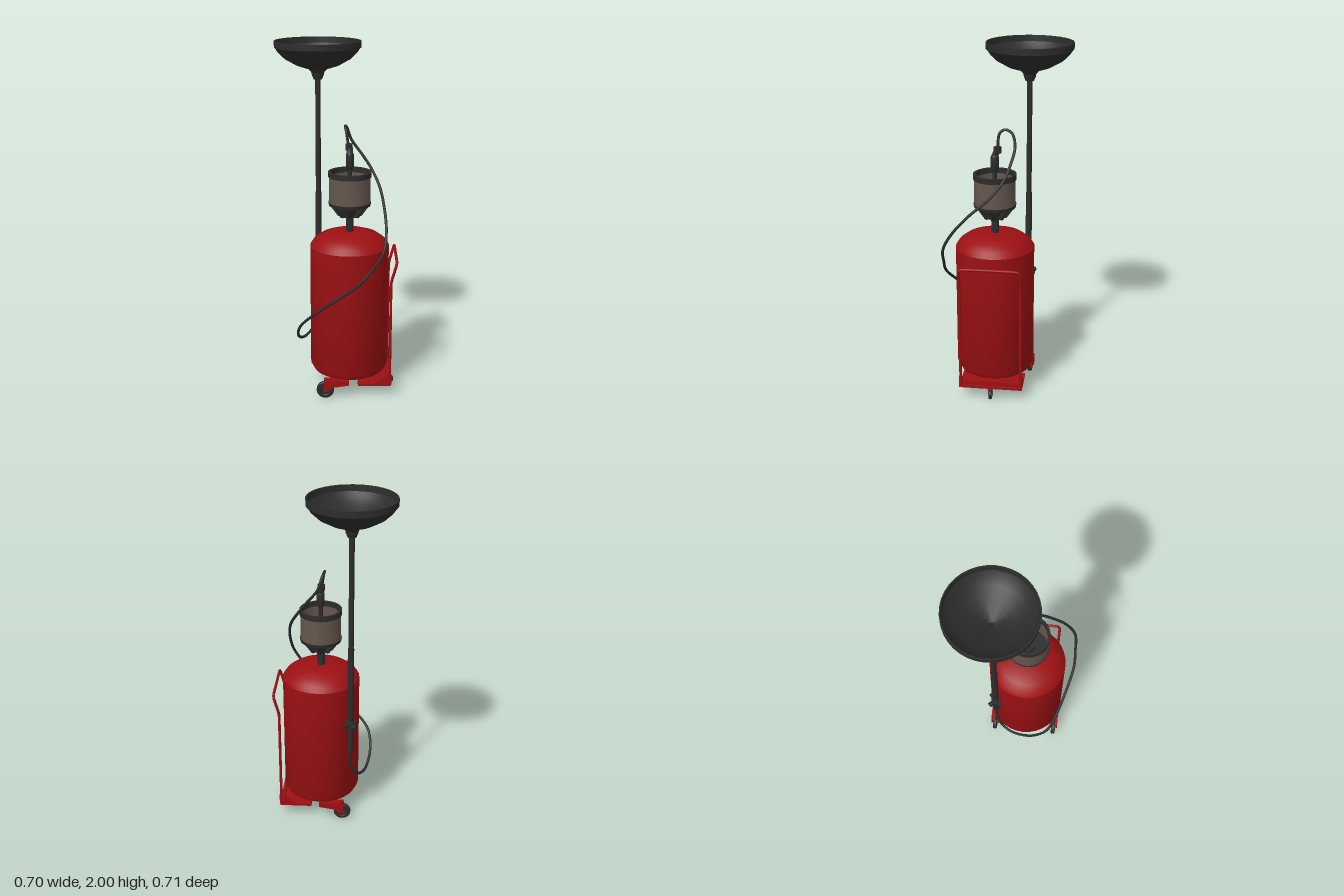
import * as THREE from 'three';
import { toCreasedNormals } from 'three/addons/utils/BufferGeometryUtils.js';

const CX = 0.075, CZ = 0.067;   // tank axis
const PX = -0.107, PZ = -0.107; // funnel pole axis

const mat = (color) => new THREE.MeshStandardMaterial({ color, side: THREE.DoubleSide });

export function createModel() {
  const model = new THREE.Group();
  const red = mat(0x9c1013), black = mat(0x2c2c2c), brown = mat(0x64564d), steel = mat(0x555555);

  const add = (name, geometry, material, x = 0, y = 0, z = 0, parent = model) => {
    const mesh = new THREE.Mesh(geometry, material);
    mesh.name = name;
    mesh.position.set(x, y, z);
    parent.add(mesh);
    return mesh;
  };
  const lathe = (profile, segments = 32) => toCreasedNormals(
    new THREE.LatheGeometry(profile.map(([r, y]) => new THREE.Vector2(r, y)), segments), 0.55);
  const cyl = (rTop, rBottom, h, n = 20, open = false) =>
    toCreasedNormals(new THREE.CylinderGeometry(rTop, rBottom, h, n, 1, open), 0.6);
  const box = (w, h, d) => new THREE.BoxGeometry(w, h, d);
  const tube = (points, r, segments, tension = 0.5) => new THREE.TubeGeometry(
    new THREE.CatmullRomCurve3(points.map((p) => new THREE.Vector3(...p)), false, 'catmullrom', tension),
    segments, r, 10);

  // Tank with domed ends
  add('tank', lathe([
    [0, 0.075], [0.1, 0.08], [0.165, 0.094], [0.208, 0.118], [0.225, 0.15],
    [0.225, 0.865], [0.205, 0.895], [0.165, 0.924], [0.11, 0.943], [0, 0.947],
  ]), red, CX, 0, CZ);

  // Funnel bowl: outer wall, rim, inner wall and drain
  add('funnelBowl', lathe([
    [0.034, 1.81], [0.036, 1.823], [0.052, 1.842], [0.12, 1.864], [0.185, 1.9], [0.222, 1.935],
    [0.24, 1.962], [0.245, 1.965], [0.245, 2.0], [0.238, 2.0], [0.235, 1.965], [0.215, 1.938],
    [0.18, 1.908], [0.12, 1.873], [0.05, 1.851], [0.03, 1.84], [0.013, 1.835],
  ], 36), black, PX, 0, PZ);
  add('funnelNeck', lathe([[0.016, 1.785], [0.024, 1.785], [0.034, 1.81], [0.016, 1.81]], 24), black, PX, 0, PZ);

  // Telescoping pole and its clamp on the tank
  add('upperPole', cyl(0.015, 0.015, 0.72, 16, true), black, PX, 1.475, PZ);
  add('lowerPole', cyl(0.018, 0.018, 0.65, 16, true), black, PX, 0.805, PZ);
  const clamp = new THREE.Group();
  clamp.name = 'poleClamp';
  clamp.position.set(PX, 0.64, PZ);
  clamp.rotation.y = Math.PI / 4; // local +z points at the tank axis
  model.add(clamp);
  add('clampCollar', cyl(0.028, 0.028, 0.045, 16), black, 0, 0, 0, clamp);
  add('clampArm', box(0.03, 0.03, 0.05), black, 0, 0, 0.025, clamp);
  add('clampPlate', box(0.1, 0.022, 0.016), black, 0, 0, 0, clamp);
  const knob = add('clampKnob', cyl(0.014, 0.014, 0.03, 10), black, 0, 0, -0.035, clamp);
  knob.rotation.x = Math.PI / 2;

  // Measuring chamber on top of the tank
  const chamber = new THREE.Group();
  chamber.name = 'measuringChamber';
  chamber.position.set(CX, 0, CZ);
  model.add(chamber);
  add('chamberNeck', cyl(0.022, 0.022, 0.12, 16), black, 0, 0.99, 0, chamber);
  add('chamberBase', lathe([
    [0, 1.03], [0.04, 1.03], [0.045, 1.05], [0.07, 1.09], [0.118, 1.1], [0.121, 1.118], [0, 1.118],
  ]), black, 0, 0, 0, chamber);
  add('chamberWall', lathe([[0.117, 1.115], [0.117, 1.27], [0.11, 1.27], [0.11, 1.115]]), brown, 0, 0, 0, chamber);
  add('chamberRim', lathe([
    [0.108, 1.264], [0.122, 1.264], [0.122, 1.294], [0.108, 1.294], [0.108, 1.264],
  ]), black, 0, 0, 0, chamber);
  // Supporting ribs under the chamber
  const ribShape = new THREE.Shape([[0.02, 1.035], [0.066, 1.035], [0.116, 1.104], [0.02, 1.104]]
    .map(([x, y]) => new THREE.Vector2(x, y)));
  const ribGeometry = new THREE.ExtrudeGeometry(ribShape, { depth: 0.014, bevelEnabled: false });
  ribGeometry.translate(0, 0, -0.007);
  for (let i = 0; i < 8; i++) {
    add('chamberRib', ribGeometry, black, 0, 0, 0, chamber).rotation.y = i * Math.PI / 4;
  }
  // Column, valve and hose fitting in the middle
  add('socket', lathe([[0.04, 1.118], [0.04, 1.15], [0.026, 1.15], [0.026, 1.118]], 20), black, 0, 0, 0, chamber);
  add('column', cyl(0.013, 0.013, 0.2, 12), black, 0, 1.215, 0, chamber);
  add('valveBody', lathe([
    [0, 1.305], [0.015, 1.305], [0.023, 1.325], [0.023, 1.39], [0.015, 1.405], [0, 1.405],
  ], 12), black, 0, 0, 0, chamber);
  const elbow = add('valveElbow', cyl(0.018, 0.018, 0.035, 8), black, 0, 1.41, -0.006, chamber);
  elbow.rotation.x = -0.4;
  add('hoseNut', cyl(0.023, 0.023, 0.035, 6), black, -0.005, 1.43, -0.015, chamber);

  // Hose from the valve, round the front of the tank to the foot of the pole
  add('hose', tube([
    [0.066, 1.44, 0.05], [0.055, 1.51, 0.046], [0.048, 1.54, 0.015], [0.06, 1.52, -0.03],
    [0.085, 1.45, -0.047], [0.145, 1.37, -0.03], [0.2, 1.29, 0.002], [0.245, 1.2, 0.075],
    [0.268, 1.1, 0.19], [0.275, 1.0, 0.28], [0.258, 0.9, 0.335], [0.195, 0.8, 0.345],
    [0.105, 0.7, 0.343], [-0.08, 0.55, 0.285], [-0.185, 0.45, 0.235], [-0.217, 0.38, 0.18],
    [-0.217, 0.31, 0.1], [-0.19, 0.268, 0.0], [-0.145, 0.29, -0.075], [PX, 0.37, PZ], [PX, 0.5, PZ],
  ], 0.008, 160), black);

  // Push handle: bent U-shaped bar
  const zA = CZ - 0.173, zB = CZ + 0.173;
  add('pushHandle', tube([
    [0.308, 0.08, zA], [0.308, 0.4, zA], [0.308, 0.67, zA], [0.312, 0.71, zA], [0.334, 0.79, zA],
    [0.339, 0.812, zA + 0.02], [0.339, 0.814, CZ], [0.339, 0.812, zB - 0.02],
    [0.334, 0.79, zB], [0.312, 0.71, zB], [0.308, 0.67, zB], [0.308, 0.4, zB], [0.308, 0.08, zB],
  ], 0.008, 120, 0.3), red);

  // Base plate with side gussets
  add('basePlate', box(0.19, 0.012, 0.365), red, 0.22, 0.072, CZ);
  add('plateLip', box(0.01, 0.03, 0.365), red, 0.296, 0.088, CZ);
  const gusset = new THREE.ExtrudeGeometry(new THREE.Shape([[0.215, 0.075], [0.318, 0.075], [0.318, 0.135], [0.29, 0.135]]
    .map(([x, y]) => new THREE.Vector2(x, y))), { depth: 0.008, bevelEnabled: false });
  for (const z of [zA - 0.009, zB + 0.001]) add('plateGusset', gusset, red, 0, 0, z);

  // Wheel with tyre and hub, axle along z
  const addWheel = (name, r, w, x, z) => {
    const wheel = new THREE.Group();
    wheel.name = name;
    wheel.position.set(x, r, z);
    wheel.rotation.x = Math.PI / 2;
    model.add(wheel);
    add('tyre', lathe([
      [0, -w * 0.35], [r * 0.55, -w * 0.35], [r * 0.62, -w / 2], [r * 0.9, -w / 2], [r, -w * 0.3],
      [r, w * 0.3], [r * 0.9, w / 2], [r * 0.62, w / 2], [r * 0.55, w * 0.35], [0, w * 0.35],
    ], 24), black, 0, 0, 0, wheel);
    add('hub', cyl(r * 0.22, r * 0.22, w * 1.15, 12), steel, 0, 0, 0, wheel);
  };

  // Two main wheels on arms running under the tank
  const armShape = new THREE.Shape([[-0.075, 0.05], [-0.045, 0.045], [-0.02, 0.07], [0.075, 0.085], [0.075, 0.115], [-0.07, 0.11]]
    .map(([x, y]) => new THREE.Vector2(x, y)));
  const armGeometry = new THREE.ExtrudeGeometry(armShape, { depth: 0.008, bevelEnabled: false });
  for (const side of [-1, 1]) {
    const z = CZ + side * 0.193;
    addWheel('mainWheel', 0.05, 0.026, -0.062, z);
    for (const offset of [-0.025, 0.017]) add('wheelFork', armGeometry, red, 0, 0, z + offset);
    add('wheelArm', box(0.12, 0.014, 0.042), red, 0.005, 0.107, z);
  }
  add('axleBeam', box(0.05, 0.02, 0.37), red, 0.05, 0.1, CZ);

  // Small swivel caster below the handle
  addWheel('caster', 0.028, 0.018, 0.31, CZ);
  for (const side of [-1, 1]) add('casterFork', box(0.02, 0.045, 0.003), steel, 0.305, 0.046, CZ + side * 0.013);
  add('casterTop', box(0.03, 0.006, 0.03), steel, 0.3, 0.066, CZ);

  return model;
}
